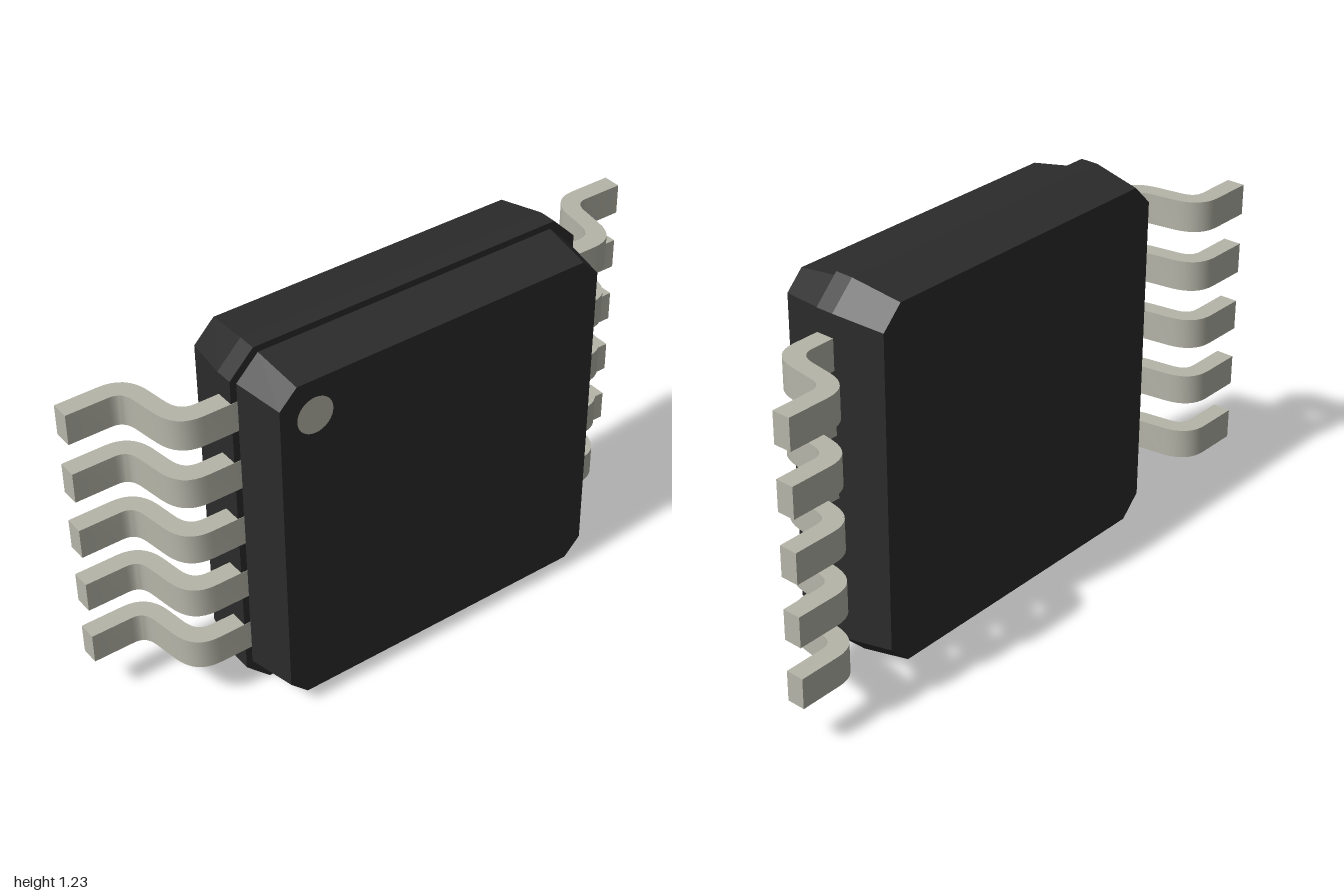
import * as THREE from 'three';
import { toCreasedNormals } from 'three/addons/utils/BufferGeometryUtils.js';

const MID_Y = 0.613;

// Square outline with cut corners at depth z, counter-clockwise from the front
function ring(half, cut, z) {
  const a = half, b = half - cut;
  return [[a, -b], [a, b], [b, a], [-b, a], [-a, b], [-a, -b], [-b, -a], [b, -a]]
    .map(([x, y]) => [x, y, z]);
}

// Flat-shaded solid joining rings from back to front, closed at both ends
function loft(rings) {
  const pos = [];
  const tri = (a, b, c) => pos.push(...a, ...b, ...c);
  const n = rings[0].length;
  for (let r = 0; r < rings.length - 1; r++) {
    for (let i = 0; i < n; i++) {
      const j = (i + 1) % n, lo = rings[r], hi = rings[r + 1];
      tri(lo[i], lo[j], hi[j]);
      tri(lo[i], hi[j], hi[i]);
    }
  }
  const back = rings[0], front = rings[rings.length - 1];
  for (let i = 1; i < n - 1; i++) {
    tri(back[0], back[i + 1], back[i]);
    tri(front[0], front[i], front[i + 1]);
  }
  const g = new THREE.BufferGeometry();
  g.setAttribute('position', new THREE.Float32BufferAttribute(pos, 3));
  g.computeVertexNormals();
  return g;
}

// Gull-wing pin: S-shaped profile in x and z, extruded along y
function leadGeometry() {
  const s = new THREE.Shape();
  s.moveTo(0.55, 0);
  s.lineTo(0.688, 0);
  s.bezierCurveTo(0.725, 0, 0.743, -0.02, 0.749, -0.06);
  s.lineTo(0.76, -0.135);
  s.bezierCurveTo(0.77, -0.195, 0.805, -0.226, 0.86, -0.226);
  s.lineTo(1, -0.226);
  s.lineTo(1, -0.166);
  s.lineTo(0.865, -0.166);
  s.bezierCurveTo(0.835, -0.166, 0.82, -0.15, 0.815, -0.115);
  s.lineTo(0.803, -0.035);
  s.bezierCurveTo(0.793, 0.03, 0.76, 0.061, 0.7, 0.061);
  s.lineTo(0.55, 0.061);
  s.closePath();
  const g = new THREE.ExtrudeGeometry(s, { depth: 0.1, bevelEnabled: false, curveSegments: 8 });
  g.translate(0, 0, -0.05);
  g.rotateX(Math.PI / 2);
  return toCreasedNormals(g, 0.6);
}

export function createModel() {
  const model = new THREE.Group();
  model.name = 'chipPackage';
  const plastic = new THREE.MeshStandardMaterial({ name: 'black plastic', color: 0x2b2b2b });
  const metal = new THREE.MeshStandardMaterial({ name: 'pale metal', color: 0xb5b5a9 });

  // Body: tapered back, wide rim, step, tapered front
  const body = new THREE.Mesh(loft([
    ring(0.584, 0.068, -0.163),
    ring(0.613, 0.08, 0),
    ring(0.613, 0.08, 0.06),
    ring(0.592, 0.074, 0.06),
    ring(0.564, 0.058, 0.225),
  ]), plastic);
  body.name = 'body';
  body.position.y = MID_Y;
  model.add(body);

  // Round marker in the upper corner of the front face
  const dot = new THREE.Mesh(new THREE.CircleGeometry(0.06, 32), metal);
  dot.name = 'orientationDot';
  dot.position.set(-0.449, 1.06, 0.2265);
  model.add(dot);

  // Five pins on each side, the right row turned half a circle about z
  const geometry = leadGeometry();
  for (const side of [1, -1]) {
    const row = new THREE.Group();
    row.name = side > 0 ? 'leftLeads' : 'rightLeads';
    row.position.y = MID_Y;
    if (side < 0) row.rotation.z = Math.PI;
    for (let i = -2; i <= 2; i++) {
      const lead = new THREE.Mesh(geometry, metal);
      lead.name = 'lead';
      lead.position.y = i * 0.204;
      row.add(lead);
    }
    model.add(row);
  }
  return model;
}
